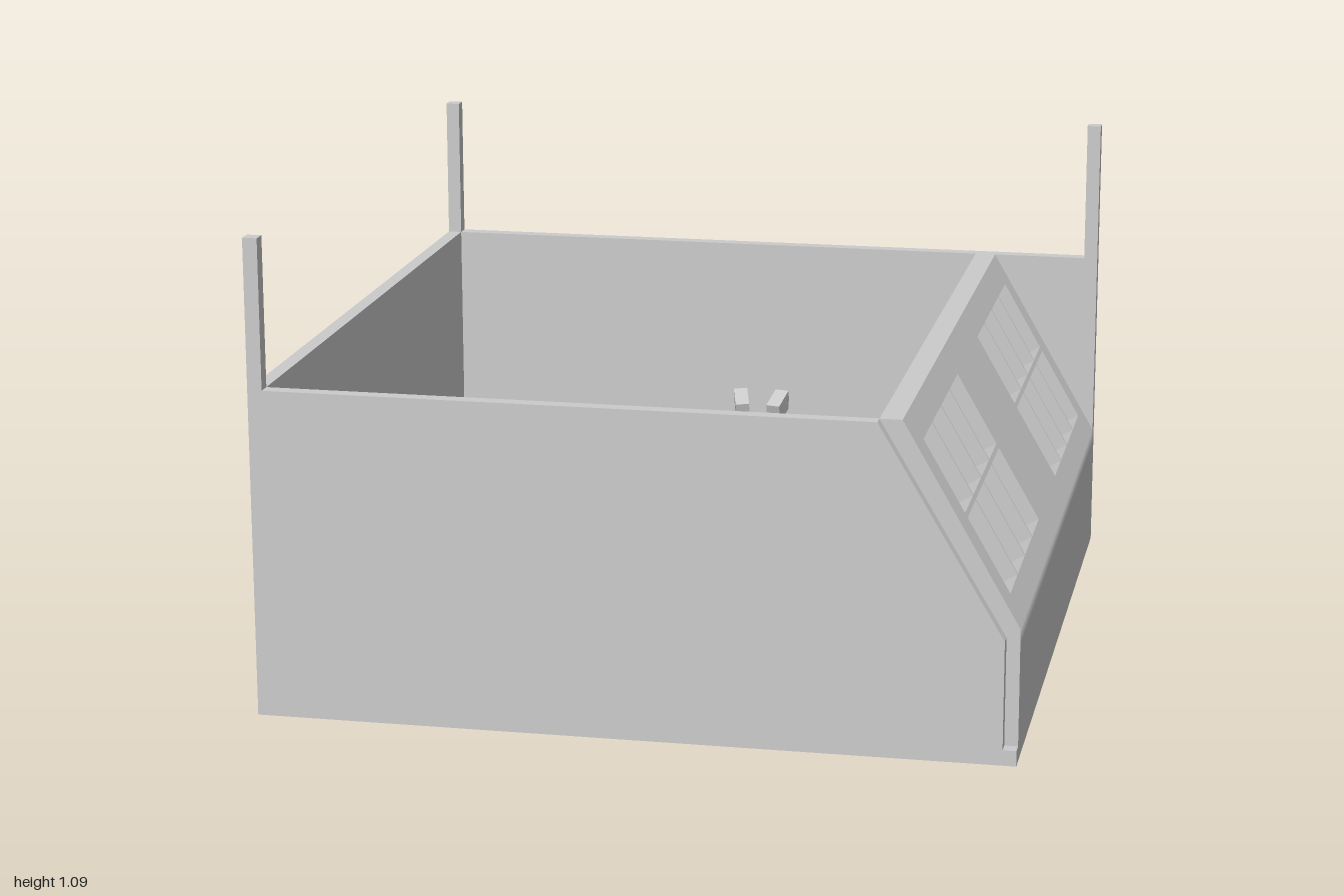
import * as THREE from 'three';

const grey = new THREE.MeshStandardMaterial({ color: 0xcccccc });
const greySheet = new THREE.MeshStandardMaterial({ color: 0xcccccc, side: THREE.DoubleSide });
const black = new THREE.MeshStandardMaterial({ color: 0x0a0a0a, side: THREE.DoubleSide });

export function createModel() {
  const model = new THREE.Group();

  const add = (name, geometry, material = grey) => {
    const mesh = new THREE.Mesh(geometry, material);
    mesh.name = name;
    model.add(mesh);
    return mesh;
  };
  const boxGeometry = (x0, x1, y0, y1, z0, z1) =>
    new THREE.BoxGeometry(x1 - x0, y1 - y0, z1 - z0)
      .translate((x0 + x1) / 2, (y0 + y1) / 2, (z0 + z1) / 2);
  const points = (list) => list.map(([a, b]) => new THREE.Vector2(a, b));
  const rect = (a0, a1, b0, b1) => points([[a0, b0], [a1, b0], [a1, b1], [a0, b1]]);
  const extrude = (outline, holes, depth) => {
    const shape = new THREE.Shape(outline);
    holes.forEach((h) => shape.holes.push(new THREE.Path(h)));
    return new THREE.ExtrudeGeometry(shape, { depth, bevelEnabled: false });
  };

  // Base tray, open underneath
  const base = boxGeometry(-0.85, 0.85, 0, 0.035, -0.703, 1);
  base.setIndex([...base.index.array].filter((_, i) => i < 18 || i >= 24));
  add('baseTray', base, greySheet);

  // Raised floor around a stepped recess, with an island in the middle
  const recess = points([
    [-0.24, -0.57], [0.24, -0.57], [0.24, -0.265], [0.62, -0.265], [0.62, -0.03], [0.51, -0.03],
    [0.51, 0.315], [0.62, 0.315], [0.62, 0.555], [0.41, 0.555], [0.41, 0.765], [-0.41, 0.765],
    [-0.41, 0.555], [-0.62, 0.555], [-0.62, 0.315], [-0.48, 0.315], [-0.48, -0.03],
    [-0.62, -0.03], [-0.62, -0.265], [-0.24, -0.265],
  ]);
  add('raisedFloor', extrude(rect(-0.82, 0.82, -0.67, 0.97), [recess], 0.035)
    .rotateX(Math.PI / 2).translate(0, 0.07, 0));
  add('floorIsland', boxGeometry(-0.205, 0.2, 0.035, 0.11, 0.045, 0.245));

  // Back wall with a flush panel
  add('backWall', extrude(rect(-0.85, 0.85, 0.035, 0.75), [rect(-0.27, 0.27, 0.04, 0.505)], 0.033)
    .translate(0, 0, -0.703));
  add('backPanel', boxGeometry(-0.27, 0.27, 0.04, 0.505, -0.703, -0.67));

  // Left wall with its opening
  add('leftWall', extrude(rect(-0.67, 0.97, 0.035, 0.75), [rect(0.045, 0.245, 0.07, 0.41)], 0.033)
    .rotateY(-Math.PI / 2).translate(-0.817, 0, 0));

  // Front wall, cut to follow the inside of the sloping wall
  add('frontWall', extrude(points([[-0.85, 0.035], [0.82, 0.035], [0.82, 0.28], [0.54, 0.75], [-0.85, 0.75]]), [], 0.033)
    .translate(0, 0, 0.967));

  // Lower right wall, its shading softened where it meets the slope
  const lower = extrude(points([[0.82, 0.035], [0.85, 0.035], [0.85, 0.265], [0.85, 0.3], [0.82, 0.28]]), [], 1.64)
    .translate(0, 0, -0.67);
  const lp = lower.attributes.position, ln = lower.attributes.normal;
  for (let i = 0; i < lp.count; i++) {
    if (lp.getY(i) > 0.29 && ln.getX(i) > 0.9) ln.setXYZ(i, 0.866, 0.5, 0);
  }
  add('lowerRightWall', lower);

  // Sloping right wall with two banks of four by two panes
  const panes = [];
  for (const start of [-0.6, 0.33]) {
    for (let i = 0; i < 4; i++) {
      const z0 = start + i * 0.143;
      panes.push(rect(z0, z0 + 0.137, 0.355, 0.52), rect(z0, z0 + 0.137, 0.53, 0.69));
    }
  }
  const slope = extrude(rect(-0.67, 0.97, 0.3, 0.75), panes, 1);
  const p = slope.attributes.position;
  for (let i = 0; i < p.count; i++) {
    const z = p.getX(i), y = p.getY(i), inner = p.getZ(i) > 0.5;
    const x = 0.85 - (y - 0.3) * 0.578;
    if (!inner) p.setXYZ(i, x, y, z);
    else if (y > 0.749) p.setXYZ(i, 0.54, 0.75, z);
    else if (y < 0.301) p.setXYZ(i, 0.82, 0.28, z);
    else p.setXYZ(i, x - 0.037, y - 0.0215, z);
  }
  slope.computeVertexNormals();
  add('slopingWindowWall', slope);

  // Corner posts at three corners
  add('backLeftPost', boxGeometry(0.817, 0.85, 0.75, 1.09, -0.703, -0.67));
  add('backRightPost', boxGeometry(-0.85, -0.817, 0.75, 1.09, -0.703, -0.67));
  add('frontRightPost', boxGeometry(-0.85, -0.817, 0.75, 1.09, 0.967, 1));

  // Domed black screen behind the back wall
  const screen = new THREE.PlaneGeometry(0.54, 0.47, 24, 24);
  const s = screen.attributes.position;
  for (let i = 0; i < s.count; i++) {
    const a = Math.pow(Math.abs(s.getX(i)) / 0.27, 1.5);
    const b = Math.pow(Math.abs(s.getY(i)) / 0.235, 1.5);
    s.setZ(i, 1 - 0.21 * a - 0.175 * b + 0.105 * a * b);
  }
  screen.computeVertexNormals();
  add('domedScreen', screen.rotateY(Math.PI).translate(0, 0.275, 0), black);

  // Small brackets at the middle of the back wall
  const bracket = (name, x, y, z, w, h, d, rx, ry) => {
    const m = add(name, new THREE.BoxGeometry(w, h, d));
    m.position.set(x, y, z);
    m.rotation.set(rx, ry, 0);
  };
  bracket('outerBracket', 0.14, 0.37, -0.735, 0.16, 0.07, 0.05, 0.25, 0.1);
  bracket('outerBracket', -0.03, 0.275, -0.73, 0.07, 0.025, 0.07, 0.05, 0.2);
  bracket('outerBracket', -0.03, 0.17, -0.725, 0.06, 0.025, 0.06, -0.2, -0.2);
  for (const x of [-0.06, 0.035]) {
    bracket('innerProng', x, 0.33, -0.635, 0.035, 0.05, 0.08, 0.3, -x * 4);
  }

  return model;
}
